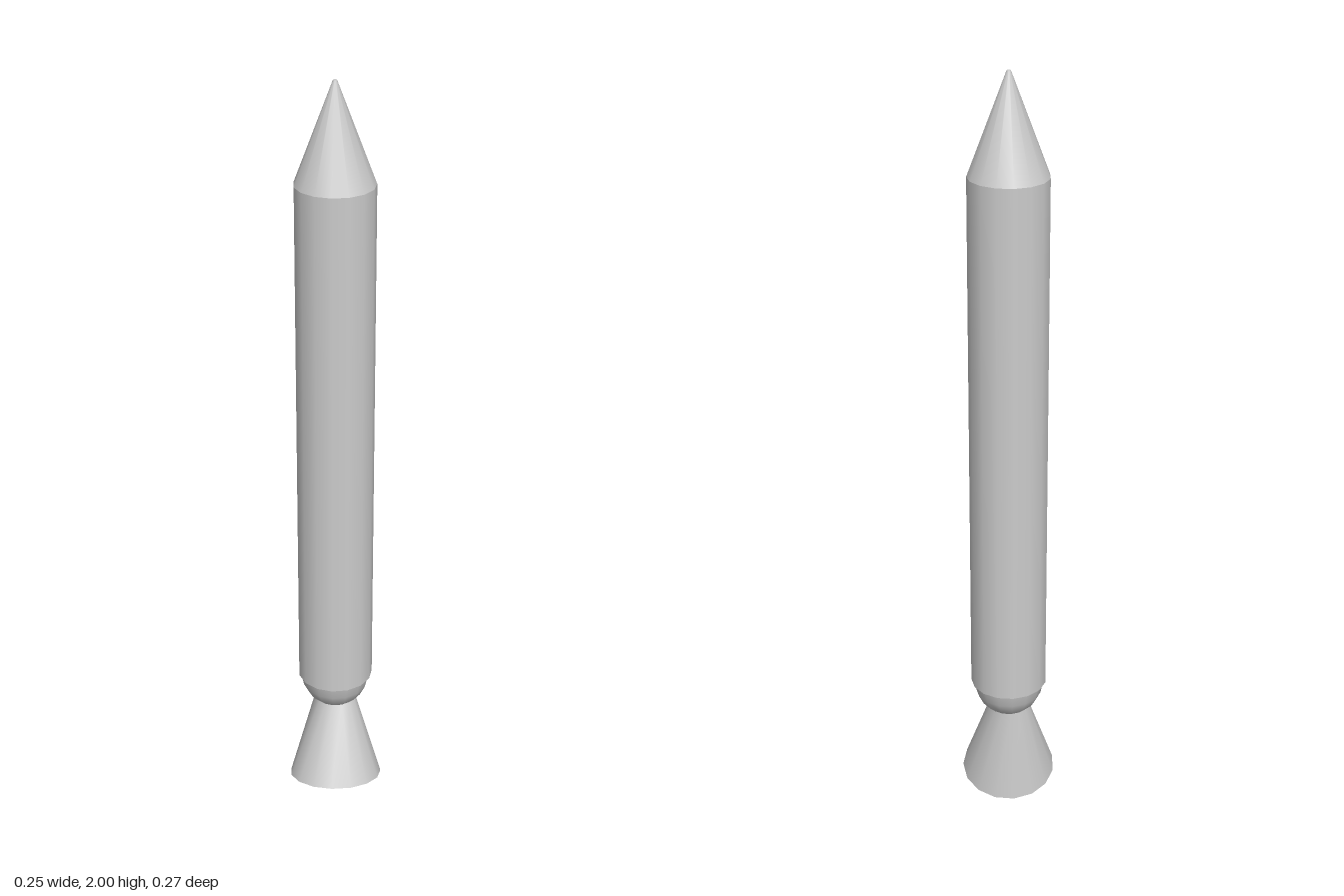
import * as THREE from 'three';
import { mergeVertices } from 'three/addons/utils/BufferGeometryUtils.js';

const SIDES = 15;
const START = Math.PI / 2; // puts a corner of every ring on +x
const AXIS_X = -0.0015, AXIS_Z = -0.034;

export function createModel() {
  const rocket = new THREE.Group();
  rocket.name = 'rocket';
  const solid = new THREE.MeshStandardMaterial({ color: 0xcccccc });
  const open = new THREE.MeshStandardMaterial({ color: 0xcccccc, side: THREE.DoubleSide });

  function add(name, geometry, material, y = 0) {
    const mesh = new THREE.Mesh(geometry, material);
    mesh.name = name;
    mesh.position.set(AXIS_X, y, AXIS_Z);
    rocket.add(mesh);
  }

  // Straight body with closed ends
  const base = 0.344, shoulder = 1.747, radius = 0.101;
  add('body', new THREE.CylinderGeometry(radius, radius, shoulder - base, SIDES, 1, false, START),
    solid, (base + shoulder) / 2);

  // Nose cone with a slightly blunt tip
  add('noseCone', new THREE.CylinderGeometry(0.005, radius, 2 - shoulder, SIDES, 1, false, START),
    solid, (2 + shoulder) / 2);

  // Rounded combustion chamber narrowing to the throat
  const throatY = 0.265, throatRadius = 0.055;
  const chamber = [[throatRadius, throatY], [0.074, 0.283], [0.088, 0.311], [0.095, base]]
    .map(([r, y]) => new THREE.Vector2(r, y));
  add('combustionChamber', new THREE.LatheGeometry(chamber, SIDES, START), open);

  // Open bell: the throat ring stays level, the exit ring tilts toward the front
  const exitRadius = 0.1265, tilt = THREE.MathUtils.degToRad(15);
  let bell = new THREE.CylinderGeometry(throatRadius, exitRadius, 2, SIDES, 1, true, START);
  const p = bell.attributes.position;
  for (let i = 0; i < p.count; i++) {
    const z = p.getZ(i);
    if (p.getY(i) > 0) p.setY(i, throatY);
    else {
      p.setY(i, 0.0327 + z * Math.sin(tilt));
      p.setZ(i, 0.0125 - AXIS_Z + z * Math.cos(tilt));
    }
  }
  bell.deleteAttribute('uv');
  bell.deleteAttribute('normal');
  bell = mergeVertices(bell);
  bell.computeVertexNormals();
  add('engineBell', bell, open);

  return rocket;
}
